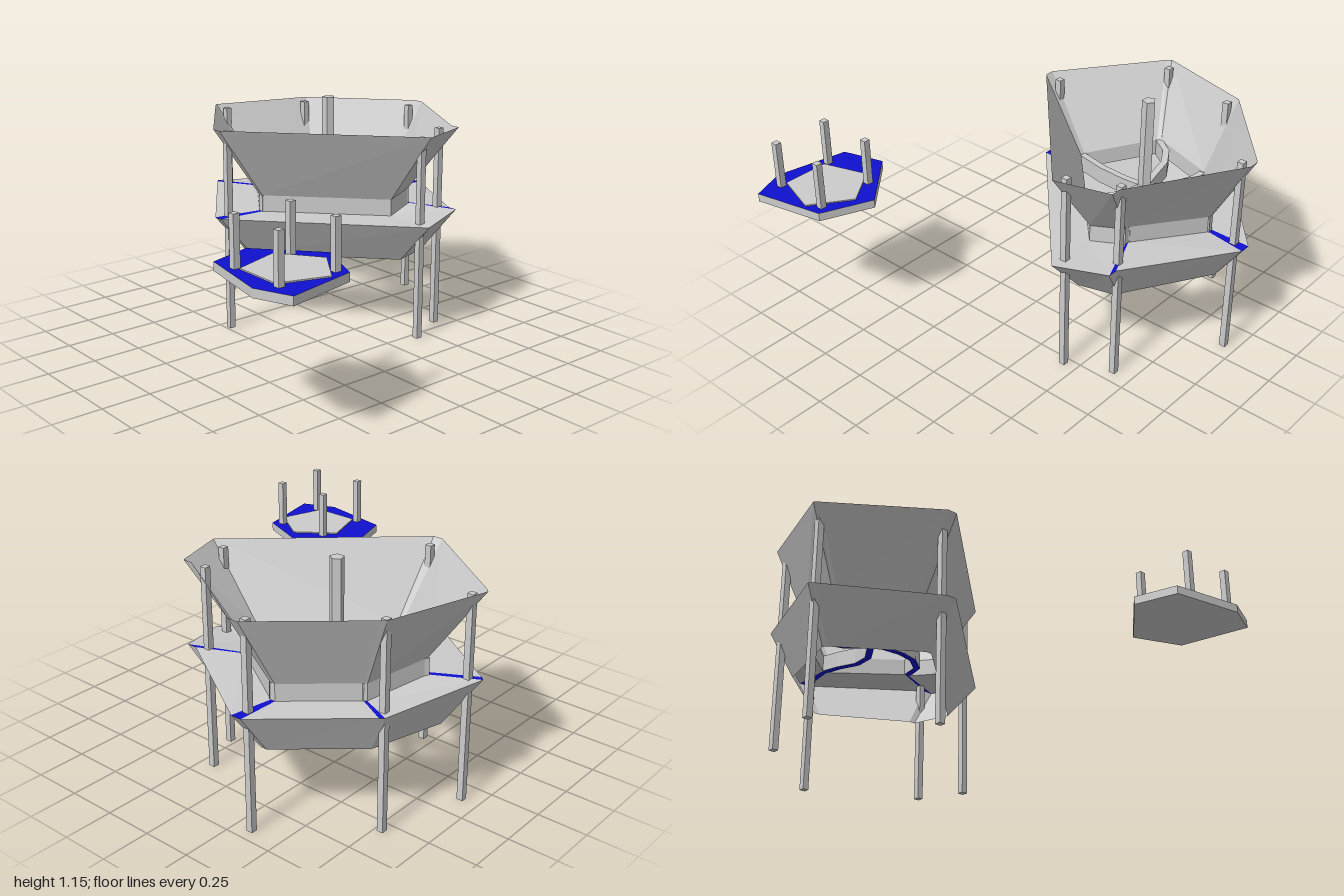
import * as THREE from 'three';

const grey = new THREE.MeshStandardMaterial({ color: 0xcccccc, flatShading: true, side: THREE.DoubleSide });
const blue = new THREE.MeshStandardMaterial({ color: 0x1010d0, flatShading: true, side: THREE.DoubleSide });

// Six corners, clockwise from the back. Five are cut by a narrow path (two points).
// out / inn: [x, z] points of the rim and of the central opening; lift raises a corner.
const corners = [
  { out: [[-0.36, -1], [-0.305, -1]], inn: [[-0.365, -0.79], [-0.34, -0.79]], lift: 0 },
  { out: [[0.235, -0.68], [0.285, -0.68]], inn: [[0.015, -0.58], [0.04, -0.58]], lift: 0.028 },
  { out: [[0.365, -0.41]], inn: [[0.09, -0.41]], lift: 0 },
  { out: [[-0.41, 0.29], [-0.46, 0.29]], inn: [[-0.395, 0.04], [-0.42, 0.04]], lift: 0 },
  { out: [[-0.95, -0.07], [-0.97, -0.09]], inn: [[-0.74, -0.185], [-0.752, -0.205]], lift: 0.028 },
  { out: [[-0.82, -0.6], [-0.80, -0.617]], inn: [[-0.668, -0.53], [-0.655, -0.54]], lift: 0 },
];

// Curved arms from the opening to the hub, as [x, z]
const hub = [-0.372, -0.383];
const arms = [
  { lift: 0, path: [[-0.352, -0.79], [-0.33, -0.70], [-0.29, -0.60], [-0.297, -0.50], hub] },
  { lift: 0.028, path: [[0.028, -0.58], [0, -0.47], [-0.09, -0.395], [-0.19, -0.365], [-0.31, -0.367], hub] },
  { lift: 0, path: [[-0.408, 0.04], [-0.375, -0.11], [-0.365, -0.26], hub] },
  { lift: 0.028, path: [[-0.746, -0.195], [-0.69, -0.28], [-0.60, -0.335], [-0.47, -0.362], hub] },
  { lift: 0, path: [[-0.66, -0.527], [-0.58, -0.52], [-0.47, -0.48], [-0.41, -0.43], hub] },
];

function sheet(name, material, quads) {
  const pos = [];
  for (const [a, b, c, d] of quads) pos.push(...a, ...b, ...c, ...a, ...c, ...d);
  const g = new THREE.BufferGeometry();
  g.setAttribute('position', new THREE.Float32BufferAttribute(pos, 3));
  g.computeVertexNormals();
  const m = new THREE.Mesh(g, material);
  m.name = name;
  return m;
}

// Ring of points at a fraction t from rim to opening
function ring(t, y, lifted) {
  return corners.flatMap((c) => c.out.map((o, k) => [
    o[0] + (c.inn[k][0] - o[0]) * t,
    y + (lifted ? c.lift : 0),
    o[1] + (c.inn[k][1] - o[1]) * t,
  ]));
}
const isPath = corners.flatMap((c) => (c.out.length === 2 ? [true, false] : [false]));

function band(a, b, keep = () => true) {
  return a.map((p, i) => {
    const j = (i + 1) % a.length;
    return [p, a[j], b[j], b[i]];
  }).filter((q, i) => keep(i));
}

function post(name, x, z, y0, y1, size = 0.032) {
  const m = new THREE.Mesh(new THREE.BoxGeometry(size, y1 - y0, size), grey);
  m.position.set(x, (y0 + y1) / 2, z);
  m.name = name;
  return m;
}

function slab(name, points, y, height, materials) {
  const shape = new THREE.Shape(points.map(([x, z]) => new THREE.Vector2(x, -z)));
  const g = new THREE.ExtrudeGeometry(shape, { depth: height, bevelEnabled: false });
  g.rotateX(-Math.PI / 2);
  const m = new THREE.Mesh(g, materials);
  m.position.y = y;
  m.name = name;
  return m;
}

function makeArm({ path, lift }) {
  const rows = path.map((p, i) => {
    const a = path[Math.max(i - 1, 0)], b = path[Math.min(i + 1, path.length - 1)];
    const len = Math.hypot(b[0] - a[0], b[1] - a[1]);
    const nx = -(b[1] - a[1]) / len * 0.017, nz = (b[0] - a[0]) / len * 0.017;
    const up = lift * (1 - i / (path.length - 1));
    const at = (s, y) => [p[0] + s * nx, y + up, p[1] + s * nz];
    return [at(-1, 0.605), at(1, 0.605), at(1, 0.69), at(-1, 0.69)];
  });
  const side = (k) => rows.slice(1).map((r, i) => [rows[i][k], rows[i][(k + 1) % 4], r[(k + 1) % 4], r[k]]);
  const g = new THREE.Group();
  g.name = 'arm';
  g.add(sheet('armBody', grey, [...side(1), ...side(2), ...side(3)]));
  g.add(sheet('armUnderside', blue, side(0)));
  return g;
}

export function createModel() {
  const model = new THREE.Group();
  model.name = 'pavilion';

  // Upper funnel, throat, deck and lower funnel
  const rim = ring(0, 0.605, true), base = ring(1, 0.605, true), throat = ring(1, 0.69, true);
  model.add(sheet('upperFunnel', grey, band(ring(0, 1.06, false), throat)));
  model.add(sheet('throatWall', grey, band(throat, base)));
  model.add(sheet('deck', grey, band(rim, base, (i) => !isPath[i])));
  model.add(sheet('deckPaths', blue, band(rim, base, (i) => isPath[i])));
  model.add(sheet('lowerFunnel', grey, band(rim, ring(0.72, 0.39, false))));

  // Arms meeting at the central mast
  arms.forEach((a) => model.add(makeArm(a)));
  const mast = new THREE.Mesh(new THREE.CylinderGeometry(0.034, 0.034, 0.55, 5), grey);
  mast.position.set(hub[0], 0.88, hub[1]);
  mast.rotation.y = Math.PI;
  mast.name = 'mast';
  model.add(mast);

  // Legs at the six corners
  for (const [x, z] of [[-0.34, -0.932], [0.18, -0.648], [0.286, -0.424], [-0.438, 0.222], [-0.908, -0.118], [-0.783, -0.558]]) {
    model.add(post('leg', x, z, 0, 1.045));
  }

  // Separate small platform with a five-sided inlay and four posts
  model.add(slab('platform', [[0.64, 0.463], [0.893, 0.57], [0.968, 0.925], [0.793, 0.993], [0.424, 0.92], [0.363, 0.706]], 0.69, 0.04, grey));
  model.add(slab('platformTop', [[0.64, 0.463], [0.893, 0.57], [0.968, 0.925], [0.793, 0.993], [0.424, 0.92], [0.363, 0.706]], 0.73, 0.002, [blue, grey]));
  model.add(slab('platformInlay', [[0.698, 0.53], [0.893, 0.667], [0.817, 0.897], [0.578, 0.897], [0.505, 0.667]], 0.732, 0.006, grey));
  for (const x of [0.55, 0.845]) {
    for (const z of [0.605, 0.9]) model.add(post('platformPost', x, z, 0.73, 0.97));
  }
  return model;
}
